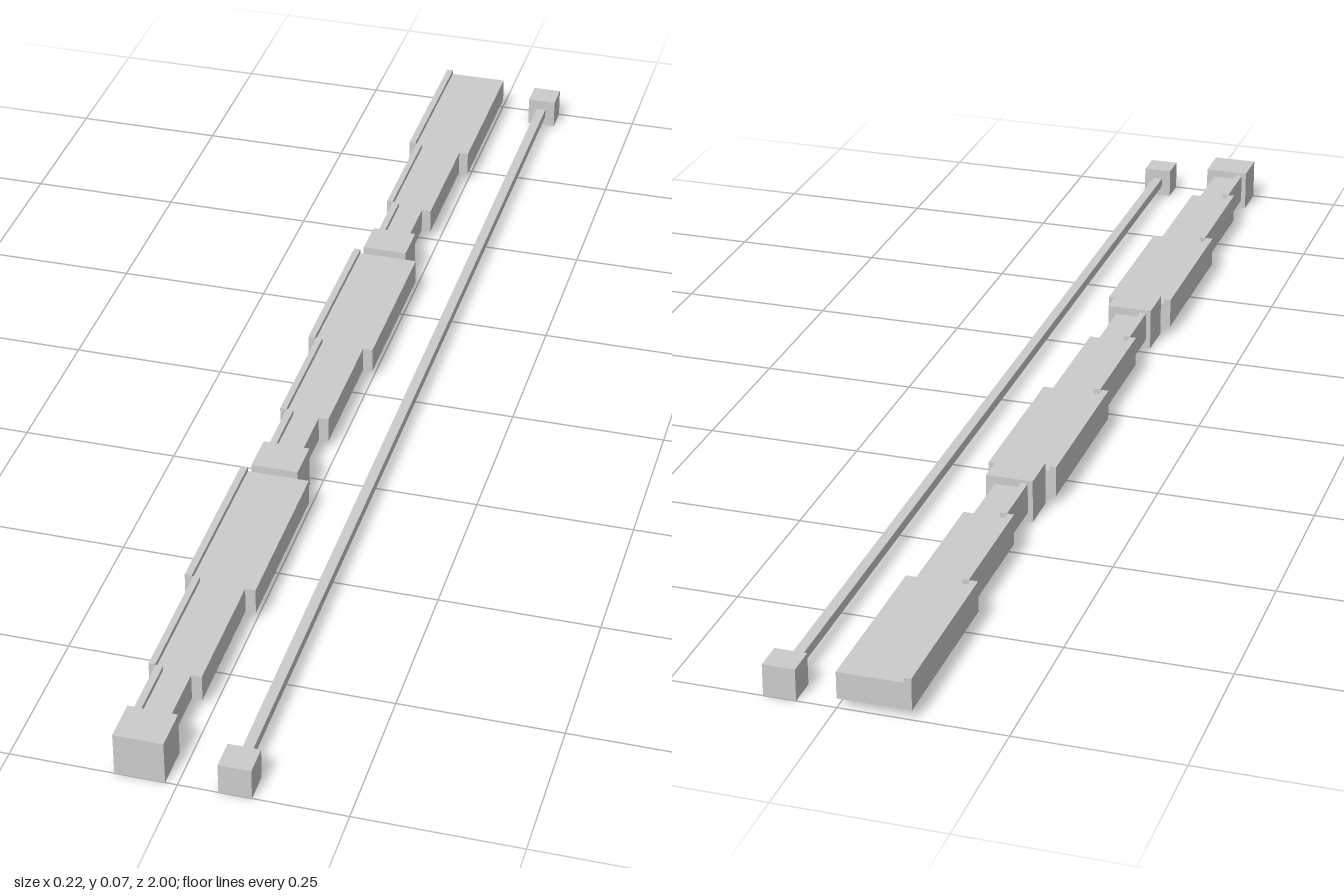
import * as THREE from 'three';

const material = new THREE.MeshStandardMaterial({ color: 0xcccccc, flatShading: true });

function addBox(parent, name, x0, x1, y0, y1, z0, z1) {
  const mesh = new THREE.Mesh(new THREE.BoxGeometry(x1 - x0, y1 - y0, z1 - z0), material);
  mesh.position.set((x0 + x1) / 2, (y0 + y1) / 2, (z0 + z1) / 2);
  mesh.name = name;
  parent.add(mesh);
}

// Extrudes a stepped plan upward; each step is [xLeft, xRight, zFront, zBack], front to back.
function addSteppedBar(parent, name, steps, y0, y1) {
  const right = steps.flatMap(([, x, front, back]) => [[x, -front], [x, -back]]);
  const left = steps.flatMap(([x, , front, back]) => [[x, -front], [x, -back]]).reverse();
  const shape = new THREE.Shape([...right, ...left].map(([x, y]) => new THREE.Vector2(x, y)));
  const geometry = new THREE.ExtrudeGeometry(shape, { depth: y1 - y0, bevelEnabled: false });
  geometry.rotateX(-Math.PI / 2).translate(0, y0, 0);
  const mesh = new THREE.Mesh(geometry, material);
  mesh.name = name;
  parent.add(mesh);
}

export function createModel() {
  const model = new THREE.Group();

  // Three identical stepped segments, end to end along z
  const pitch = 2 / 3;
  for (let i = 0; i < 3; i++) {
    const segment = new THREE.Group();
    segment.name = 'segment' + (i + 1);
    const z = 1 - i * pitch;
    const a = z - 0.066, b = z - 0.168, c = z - 0.38, d = z - pitch;
    addBox(segment, 'collar', -0.093, -0.018, 0, 0.07, a, z);
    // Neck, middle and wide steps
    addSteppedBar(segment, 'steppedBody', [
      [-0.074, -0.032, a, b], [-0.087, -0.016, b, c], [-0.1, 0, c, d],
    ], 0.015, 0.057);
    // Raised lip along the -x edge
    addSteppedBar(segment, 'edgeLip', [
      [-0.085, -0.074, a, b], [-0.096, -0.086, b, c], [-0.11, -0.099, c, d],
    ], 0.015, 0.065);
    model.add(segment);
  }

  // Thin rod with a block at each end
  const rod = new THREE.Group();
  rod.name = 'sideRod';
  addBox(rod, 'rodShaft', 0.076, 0.092, 0.017, 0.033, -0.953, 0.953);
  for (const s of [-1, 1]) {
    addBox(rod, 'rodEndBlock', 0.06, 0.109, 0, 0.05, s * 0.9765 - 0.0235, s * 0.9765 + 0.0235);
  }
  model.add(rod);
  return model;
}
